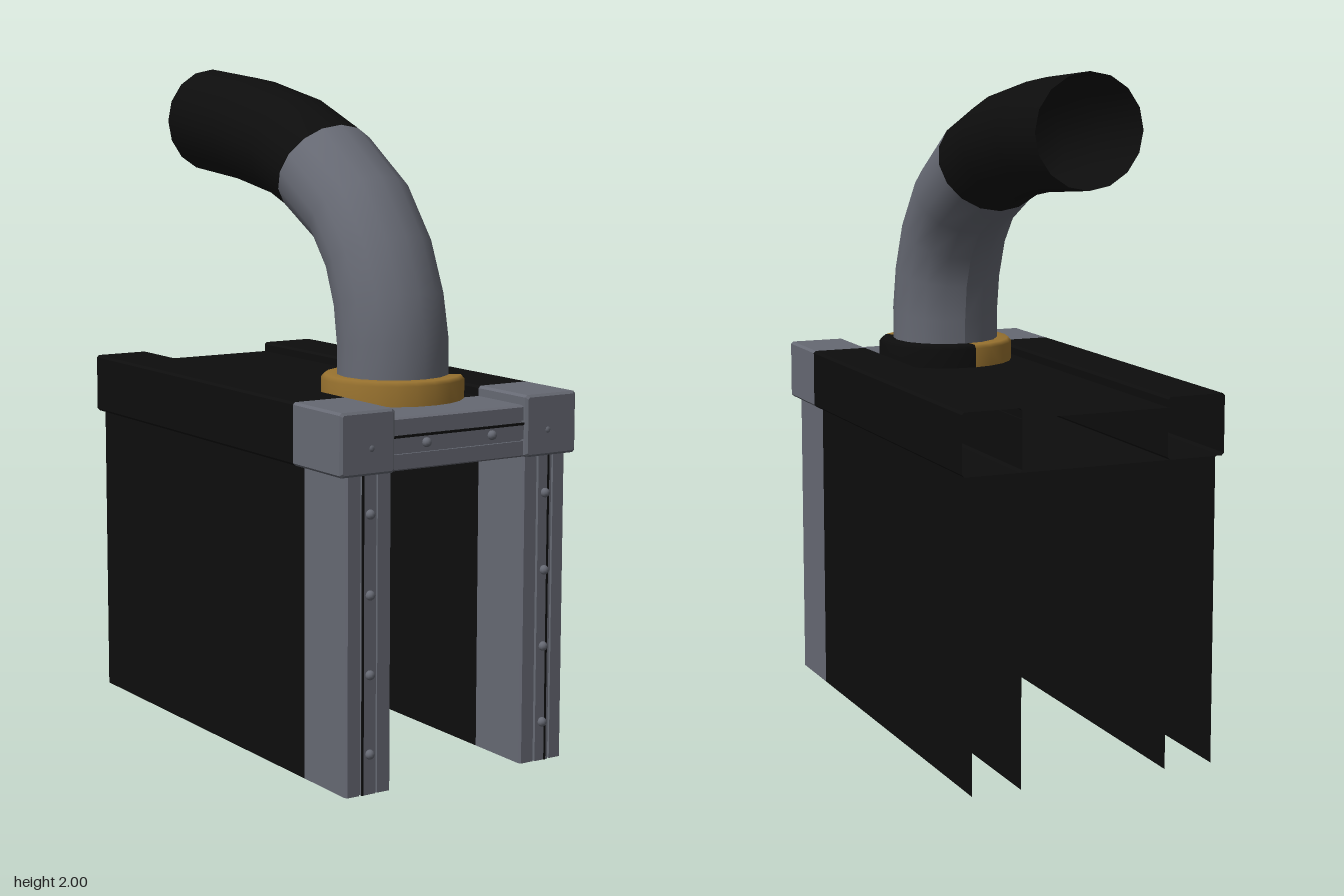
import * as THREE from 'three';

const mat = (name, color) => new THREE.MeshStandardMaterial({ name, color, side: THREE.DoubleSide });
const V = (x, y, z) => new THREE.Vector3(x, y, z);

// Surface through rows of points; faceted unless smooth
function loft(rings, smooth = false) {
  const n = rings[0].length;
  const pos = rings.flat().flatMap((p) => [p.x, p.y, p.z]);
  const index = [];
  for (let i = 0; i < rings.length - 1; i++) {
    for (let j = 0; j < n - 1; j++) {
      const a = i * n + j, b = a + n;
      index.push(a, a + 1, b, a + 1, b + 1, b);
    }
  }
  let geo = new THREE.BufferGeometry();
  geo.setAttribute('position', new THREE.Float32BufferAttribute(pos, 3));
  geo.setIndex(index);
  if (!smooth) geo = geo.toNonIndexed();
  geo.computeVertexNormals();
  return geo;
}

// Channel front: [across, z] across a width of 0.15, with steps and a groove
const CHANNEL = [
  [-0.075, 0.49], [-0.075, 0.7], [-0.07, 0.708], [-0.028, 0.708], [-0.028, 0.7], [-0.022, 0.7],
  [-0.022, 0.71], [0.024, 0.71], [0.024, 0.7], [0.032, 0.7], [0.032, 0.708], [0.07, 0.708],
  [0.075, 0.7], [0.075, 0.49],
];
const BACK = -0.73, SPLIT = 0.49, BEAM_Y = 0.91;

export function createModel() {
  const grey = mat('steel grey', 0x666973);
  const black = mat('black', 0x0d0d0d);
  const gold = mat('brass', 0x98722f);
  const root = new THREE.Group();
  root.name = 'ductOnFrame';

  const add = (parent, name, geo, material, x = 0, y = 0, z = 0) => {
    const m = new THREE.Mesh(geo, material);
    m.name = name;
    m.position.set(x, y, z);
    parent.add(m);
    return m;
  };
  const rivetGeo = new THREE.SphereGeometry(0.014, 10, 8);

  // Legs: hollow channels open at the back and bottom
  for (const s of [1, -1]) {
    const leg = new THREE.Group();
    leg.name = s > 0 ? 'leftLeg' : 'rightLeg';
    leg.position.x = s * 0.302;
    root.add(leg);
    add(leg, 'legFront', loft([0, BEAM_Y].map((y) => CHANNEL.map(([u, z]) => V(s * u, y, z)))), grey);
    for (const x of [-0.075, 0.075]) {
      add(leg, 'legWall', loft([0, BEAM_Y].map((y) => [V(x, y, BACK), V(x, y, SPLIT)])), black);
    }
    add(leg, 'legSeam', new THREE.BoxGeometry(0.006, BEAM_Y, 0.004), black, s > 0 ? 0.013 : -0.022, BEAM_Y / 2, 0.71);
    for (const y of [0.117, 0.345, 0.572, 0.8]) add(leg, 'rivet', rivetGeo, grey, 0, y, 0.714);
  }

  // Cross beam: the same channel laid on its side
  const beam = new THREE.Group();
  beam.name = 'crossBeam';
  beam.position.y = 0.985;
  root.add(beam);
  add(beam, 'beamFront', loft([-0.23, 0.23].map((x) => CHANNEL.map(([u, z]) => V(x, u, z)))), grey);
  for (const y of [-0.075, 0.075]) {
    add(beam, 'beamPanel', loft([-0.23, 0.23].map((x) => [V(x, y, BACK), V(x, y, SPLIT)])), black);
  }
  add(beam, 'beamSeam', new THREE.BoxGeometry(0.46, 0.007, 0.004), black, 0, 0.022, 0.71);
  for (const x of [-0.115, 0.11]) add(beam, 'rivet', rivetGeo, grey, x, 0, 0.714);

  // Corner rails: chamfered square tubes, closed in front and open behind
  const square = (half, c, z) => {
    const h = half - c;
    return [[half, -h], [half, h], [h, half], [-h, half], [-half, h], [-half, -h], [-h, -half], [h, -half], [half, -h]]
      .map(([x, y]) => V(x, y, z));
  };
  for (const s of [1, -1]) {
    const split = s > 0 ? 0.49 : 0.475;
    const rail = new THREE.Group();
    rail.name = s > 0 ? 'leftRail' : 'rightRail';
    rail.position.set(s * 0.315, 1.0, 0);
    root.add(rail);
    add(rail, 'cornerBlock', loft([
      square(0.09, 0.007, split), square(0.09, 0.007, 0.715),
      square(0.083, 0.005, 0.722), square(0, 0, 0.722),
    ]), grey);
    add(rail, 'railTube', loft([square(0.09, 0.007, BACK), square(0.09, 0.007, split)]), black);
    add(rail, 'rivet', rivetGeo, grey, s * -0.012, -0.015, 0.712);
  }

  // Collar: brass ring with a black arc at the back left
  const ring = [[0.21, 1.05], [0.21, 1.118], [0.2, 1.13], [0.155, 1.13]].map((p) => new THREE.Vector2(...p));
  const deg = Math.PI / 180;
  add(root, 'collarBrass', new THREE.LatheGeometry(ring, 14, 185 * deg, 225 * deg), gold, 0.005, 0, 0.365);
  add(root, 'collarDark', new THREE.LatheGeometry(ring, 8, 50 * deg, 135 * deg), black, 0.005, 0, 0.365);

  // Bent duct: each ring given by its outer and inner edge [z, y]
  const outer = [[0.53, 1.06], [0.53, 1.24], [0.5, 1.375], [0.43, 1.535], [0.3, 1.7], [0.085, 1.843],
    [-0.125, 1.922], [-0.4, 1.975], [-0.685, 2.0]];
  const inner = [[0.2, 1.06], [0.2, 1.2], [0.187, 1.31], [0.155, 1.4], [0.085, 1.485], [-0.075, 1.567],
    [-0.21, 1.615], [-0.42, 1.65], [-0.685, 1.673]];
  const SIDES = 16;
  const duct = loft(outer.map(([zo, yo], i) => {
    const [zi, yi] = inner[i];
    return Array.from({ length: SIDES + 1 }, (_, k) => {
      const a = (k / SIDES) * Math.PI * 2 - Math.PI / 2;
      const t = (1 + Math.sin(a)) / 2;
      return V(0.005 + 0.165 * Math.cos(a), yi + (yo - yi) * t, zi + (zo - zi) * t);
    });
  }), true);
  const perBand = SIDES * 6;
  duct.addGroup(0, perBand * 5, 0);
  duct.addGroup(perBand * 5, perBand * 3, 1);
  add(root, 'duct', duct, [grey, black]);

  return root;
}
